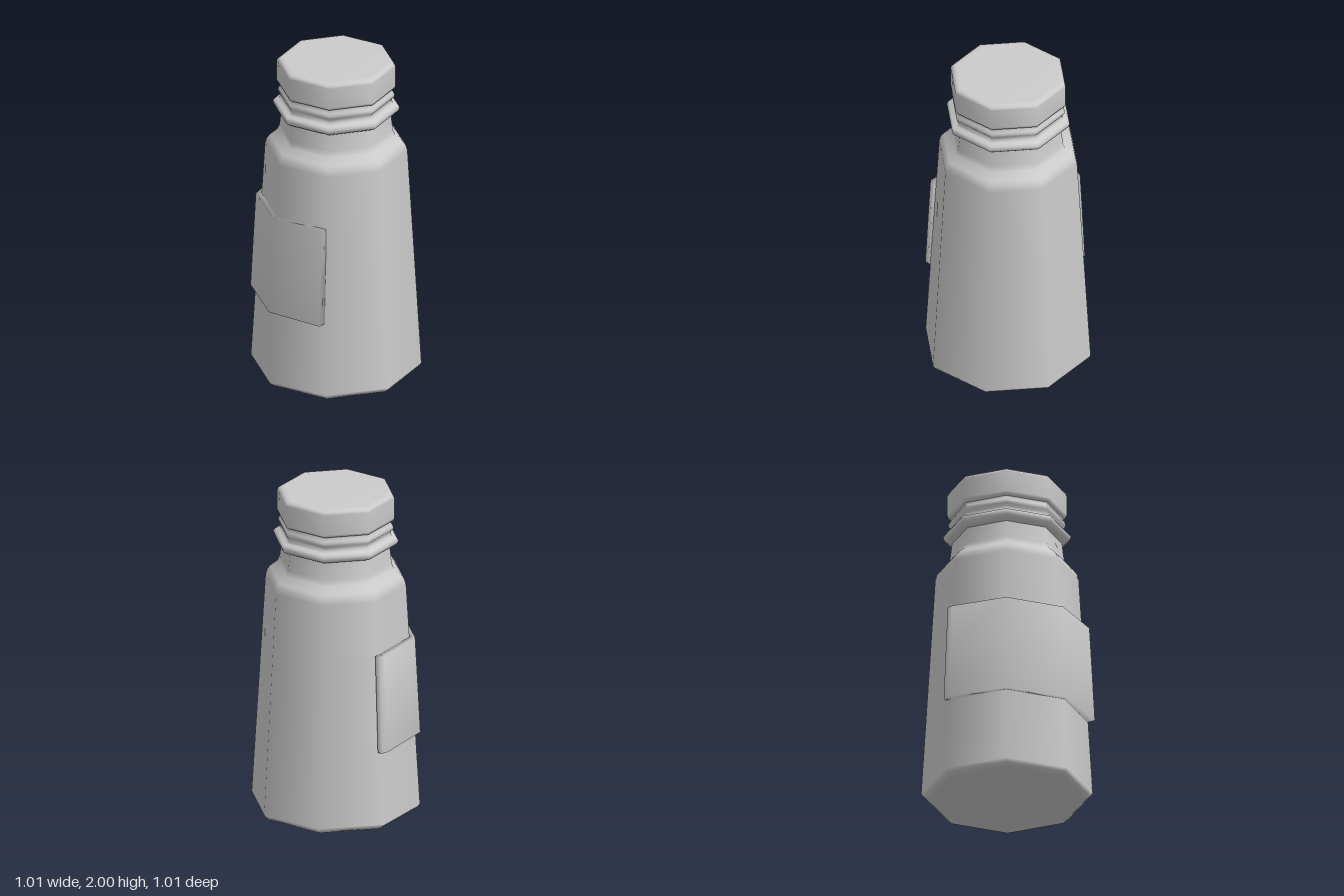
import * as THREE from 'three';

const material = () => new THREE.MeshStandardMaterial({ color: 0xcccccc });
const SIDES = 8;

// Turned part with eight smooth-shaded sides, a corner facing the front
function turned(name, profile) {
  const points = profile.map(([r, y]) => new THREE.Vector2(r, y));
  const mesh = new THREE.Mesh(new THREE.LatheGeometry(points, SIDES), material());
  mesh.name = name;
  return mesh;
}

// Thin plate: an [x, z] wall wrapped round the body, lofted through height levels
function wrappedPlate(name, outer, inner, levels) {
  const ring = [...outer, ...[...inner].reverse()];
  const n = ring.length;
  const positions = [];
  const index = [];
  for (const [y, s] of levels) for (const [x, z] of ring) positions.push(x * s, y, z * s);
  for (let i = 0; i < levels.length - 1; i++) {
    for (let j = 0; j < n; j++) {
      const a = i * n + j, b = i * n + (j + 1) % n;
      index.push(a, b, b + n, a, b + n, a + n);
    }
  }
  // Upper and lower rims between the outer and inner walls
  const top = (levels.length - 1) * n;
  for (let j = 0; j < outer.length - 1; j++) {
    const a = j, b = j + 1, c = n - 2 - j, d = n - 1 - j;
    index.push(top + a, top + b, top + c, top + a, top + c, top + d);
    index.push(a, c, b, a, d, c);
  }
  const geometry = new THREE.BufferGeometry();
  geometry.setAttribute('position', new THREE.Float32BufferAttribute(positions, 3));
  geometry.setIndex(index);
  geometry.computeVertexNormals();
  const mesh = new THREE.Mesh(geometry, material());
  mesh.name = name;
  return mesh;
}

export function createModel() {
  const bottle = new THREE.Group();
  bottle.name = 'bottle';

  // Tapered body, rounded shoulder and neck
  bottle.add(turned('body', [
    [0, 0], [0.465, 0.005], [0.49, 0.025], [0.505, 0.045], [0.422, 1.43],
    [0.412, 1.465], [0.393, 1.49], [0.35, 1.525], [0.336, 1.56], [0.322, 1.68],
  ]));

  // Collar flange and thread ring below the cap
  bottle.add(turned('collar', [
    [0.318, 1.665], [0.35, 1.673], [0.37, 1.688], [0.376, 1.71], [0.365, 1.727],
    [0.34, 1.732], [0.331, 1.745], [0.331, 1.762], [0.343, 1.775],
    [0.346, 1.79], [0.34, 1.805], [0.331, 1.815], [0.331, 1.84],
  ]));

  // Cap
  bottle.add(turned('cap', [
    [0.328, 1.825], [0.345, 1.833], [0.352, 1.85], [0.352, 1.975],
    [0.347, 1.988], [0.333, 1.998], [0.31, 2], [0, 2],
  ]));

  // Label wrapped across the front and right of the body
  bottle.add(wrappedPlate('label',
    [[-0.51, -0.01], [-0.509, 0.03], [-0.357, 0.36], [0, 0.505], [0.34, 0.392]],
    [[-0.485, -0.025], [-0.465, 0.01], [-0.328, 0.33], [0, 0.465], [0.325, 0.335]],
    [[0.5, 1], [0.8, 0.97], [1.1, 0.938]]));

  return bottle;
}
